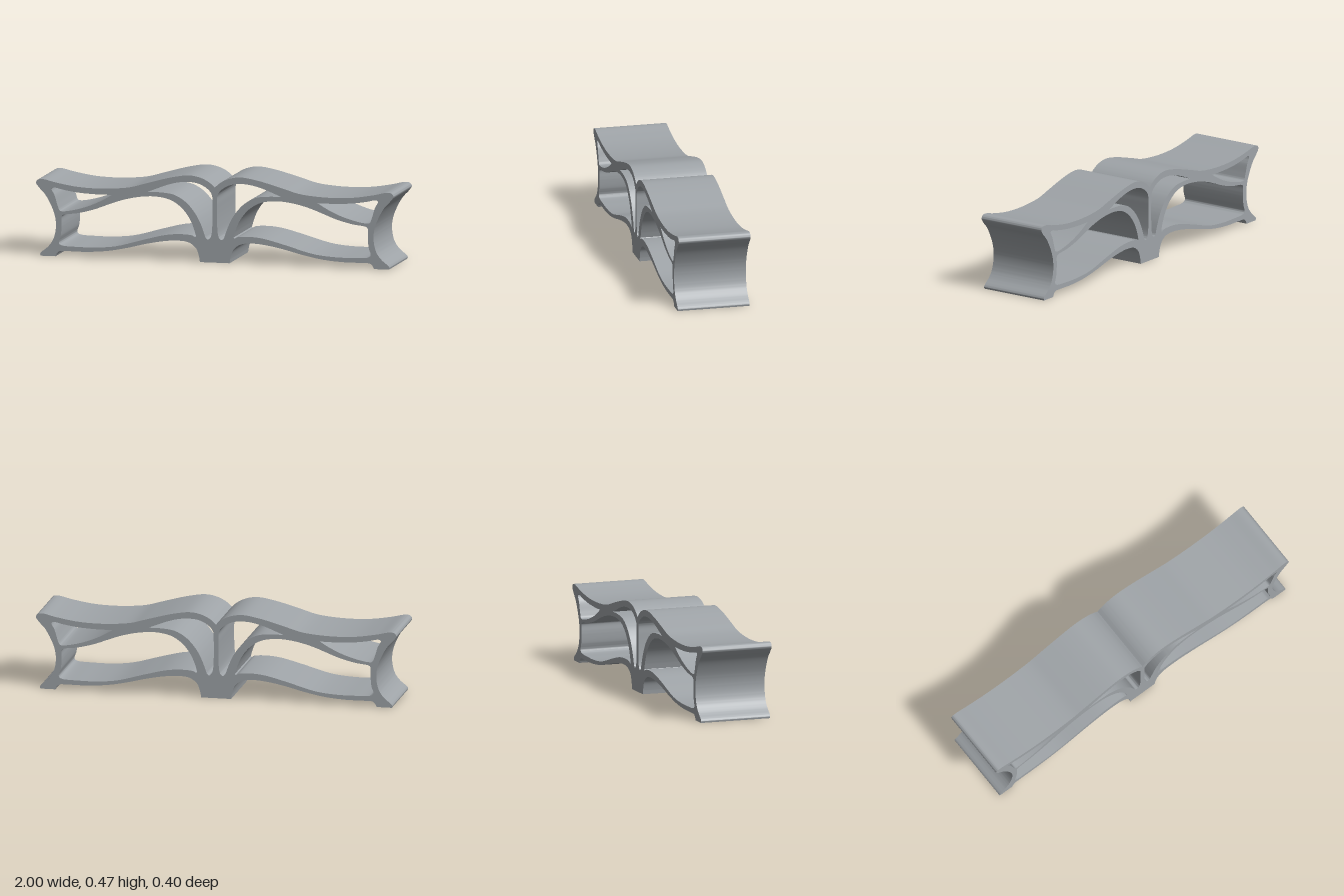
import * as THREE from 'three';
import { toCreasedNormals } from 'three/addons/utils/BufferGeometryUtils.js';

const DEPTH = 0.4;

// Smooth runs through points; runs meet at sharp corners.
function trace(runs) {
  const out = [];
  for (const run of runs) {
    const pts = run.map(([x, y]) => new THREE.Vector3(x, y, 0));
    const smooth = pts.length > 2
      ? new THREE.CatmullRomCurve3(pts, false, 'centripetal').getPoints((pts.length - 1) * 6)
      : pts;
    for (const p of smooth) {
      const last = out[out.length - 1];
      if (!last || Math.hypot(last.x - p.x, last.y - p.y) > 1e-4) out.push(new THREE.Vector2(p.x, p.y));
    }
  }
  if (out[0].distanceTo(out[out.length - 1]) < 1e-4) out.pop();
  return out;
}

const mirror = (pts) => pts.map((p) => new THREE.Vector2(-p.x, p.y)).reverse();

// Right half of the outline, from the top notch to the centre foot
const outline = trace([
  [[0, 0.412], [0.03, 0.438], [0.075, 0.461], [0.14, 0.473], [0.235, 0.46], [0.385, 0.42], [0.47, 0.396],
    [0.56, 0.385], [0.67, 0.381], [0.78, 0.387], [0.89, 0.405], [0.965, 0.421], [0.99, 0.417], [1, 0.4],
    [0.985, 0.376], [0.95, 0.338], [0.919, 0.285], [0.897, 0.23], [0.889, 0.18], [0.893, 0.13],
    [0.908, 0.085], [0.935, 0.05], [0.968, 0.023], [0.977, 0.012], [0.975, 0]],
  [[0.975, 0], [0.892, 0]],
  [[0.892, 0], [0.882, 0.018], [0.868, 0.029], [0.84, 0.031], [0.72, 0.031], [0.6, 0.041], [0.49, 0.062],
    [0.385, 0.088], [0.29, 0.106], [0.21, 0.113], [0.145, 0.105], [0.105, 0.075], [0.088, 0.03], [0.083, 0]],
]);

const holes = [
  // Opening between the centre post, the top skin and the arch
  trace([
    [[0.375, 0.374], [0.33, 0.392], [0.27, 0.415], [0.2, 0.433], [0.14, 0.437], [0.085, 0.428], [0.035, 0.398],
      [0.016, 0.37], [0.013, 0.32], [0.013, 0.22], [0.018, 0.155], [0.026, 0.133], [0.038, 0.125], [0.05, 0.133],
      [0.06, 0.16], [0.077, 0.205], [0.1, 0.251], [0.13, 0.293], [0.17, 0.332], [0.23, 0.364], [0.31, 0.374], [0.375, 0.374]],
  ]),
  // Large opening between the arch, the strut, the side wall and the lower beam
  trace([
    [[0.105, 0.142], [0.116, 0.18], [0.135, 0.226], [0.16, 0.265], [0.195, 0.302], [0.25, 0.335], [0.33, 0.35],
      [0.41, 0.346], [0.48, 0.333], [0.54, 0.316], [0.6, 0.294], [0.68, 0.264], [0.77, 0.241], [0.845, 0.23],
      [0.856, 0.222], [0.857, 0.17], [0.862, 0.115], [0.873, 0.075], [0.862, 0.063], [0.76, 0.056],
      [0.66, 0.057], [0.55, 0.069], [0.385, 0.114], [0.27, 0.142], [0.19, 0.149], [0.125, 0.144], [0.11, 0.136], [0.105, 0.142]],
  ]),
  // Triangular opening under the outer corner
  trace([
    [[0.575, 0.349], [0.67, 0.349], [0.77, 0.355], [0.85, 0.367], [0.9, 0.377], [0.914, 0.371],
      [0.897, 0.335], [0.88, 0.28], [0.868, 0.252], [0.852, 0.248], [0.78, 0.26], [0.7, 0.285], [0.63, 0.317], [0.575, 0.349]],
  ]),
];

export function createModel() {
  const group = new THREE.Group();
  group.name = 'archedProfile';

  const grey = new THREE.MeshStandardMaterial({ color: 0x9fa4a8 });
  grey.name = 'metalGrey';

  // Whole symmetric section, wound counter-clockwise and extruded along z
  const section = [...outline, ...mirror(outline).slice(0, -1)].reverse();
  const shape = new THREE.Shape(section);
  for (const hole of holes) shape.holes.push(new THREE.Path(hole), new THREE.Path(mirror(hole)));

  const extruded = new THREE.ExtrudeGeometry(shape, { depth: DEPTH, bevelEnabled: false, steps: 1 });
  extruded.translate(0, 0, -DEPTH / 2);

  const body = new THREE.Mesh(toCreasedNormals(extruded, Math.PI / 5), grey);
  body.name = 'extrudedBody';
  group.add(body);
  return group;
}
